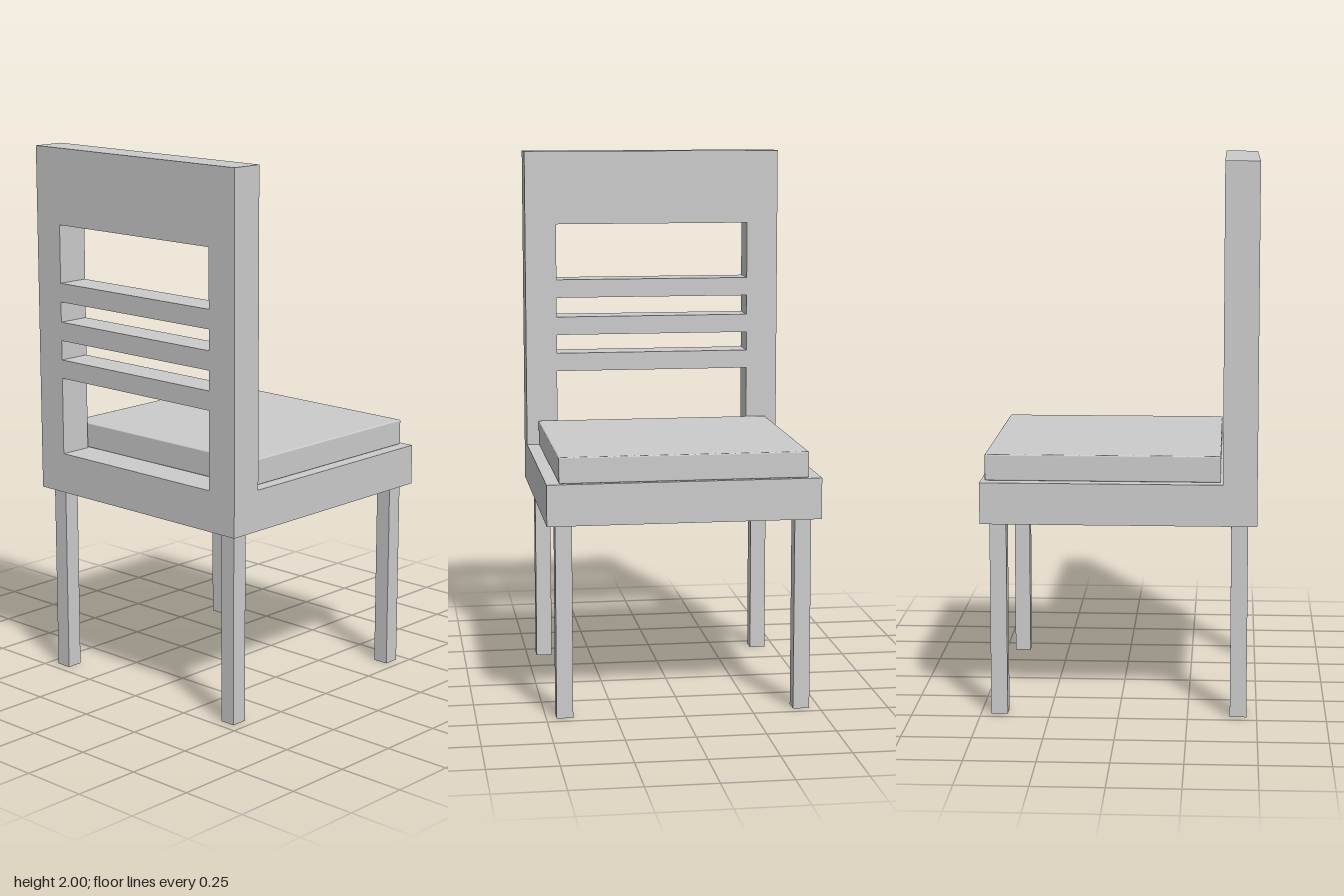
import * as THREE from 'three';
import { RoundedBoxGeometry } from 'three/addons/geometries/RoundedBoxGeometry.js';

const HALF = 0.495, SEAT_BOTTOM = 0.71, SEAT_TOP = 0.86;

export function createModel() {
  const chair = new THREE.Group();
  chair.name = 'chair';
  const material = new THREE.MeshStandardMaterial({ color: 0xcccccc });

  const add = (name, geometry, x = 0, y = 0, z = 0) => {
    const mesh = new THREE.Mesh(geometry, material);
    mesh.name = name;
    mesh.position.set(x, y, z);
    chair.add(mesh);
  };

  // Four square legs
  const legGeometry = new THREE.BoxGeometry(0.06, SEAT_BOTTOM, 0.06);
  for (const x of [-1, 1]) {
    for (const z of [-1, 1]) {
      add(`${x < 0 ? 'back' : 'front'}Leg${z < 0 ? 'A' : 'B'}`, legGeometry, x * 0.433, SEAT_BOTTOM / 2, z * 0.433);
    }
  }

  // Seat frame
  const frameHeight = SEAT_TOP - SEAT_BOTTOM;
  add('seatFrame', new THREE.BoxGeometry(2 * HALF, frameHeight, 2 * HALF), 0, SEAT_BOTTOM + frameHeight / 2);

  // Cushion with slightly softened edges
  add('cushion', new RoundedBoxGeometry(0.845, 0.095, 0.9, 2, 0.005), 0.0575, SEAT_TOP + 0.0475);

  // Backrest: outline with an open gap above the seat, and slots between the slats
  const inner = 0.375;
  const outline = new THREE.Shape([
    [-HALF, SEAT_TOP], [-inner, SEAT_TOP], [-inner, 1.148], [inner, 1.148],
    [inner, SEAT_TOP], [HALF, SEAT_TOP], [HALF, 2], [-HALF, 2],
  ].map(([z, y]) => new THREE.Vector2(z, y)));
  for (const [low, high] of [[1.218, 1.29], [1.36, 1.435], [1.505, 1.72]]) {
    outline.holes.push(new THREE.Path([
      [-inner, low], [-inner, high], [inner, high], [inner, low],
    ].map(([z, y]) => new THREE.Vector2(z, y))));
  }
  const backrest = new THREE.ExtrudeGeometry(outline, { depth: 0.123, bevelEnabled: false });
  backrest.rotateY(-Math.PI / 2);
  add('backrest', backrest, -0.372);

  return chair;
}
